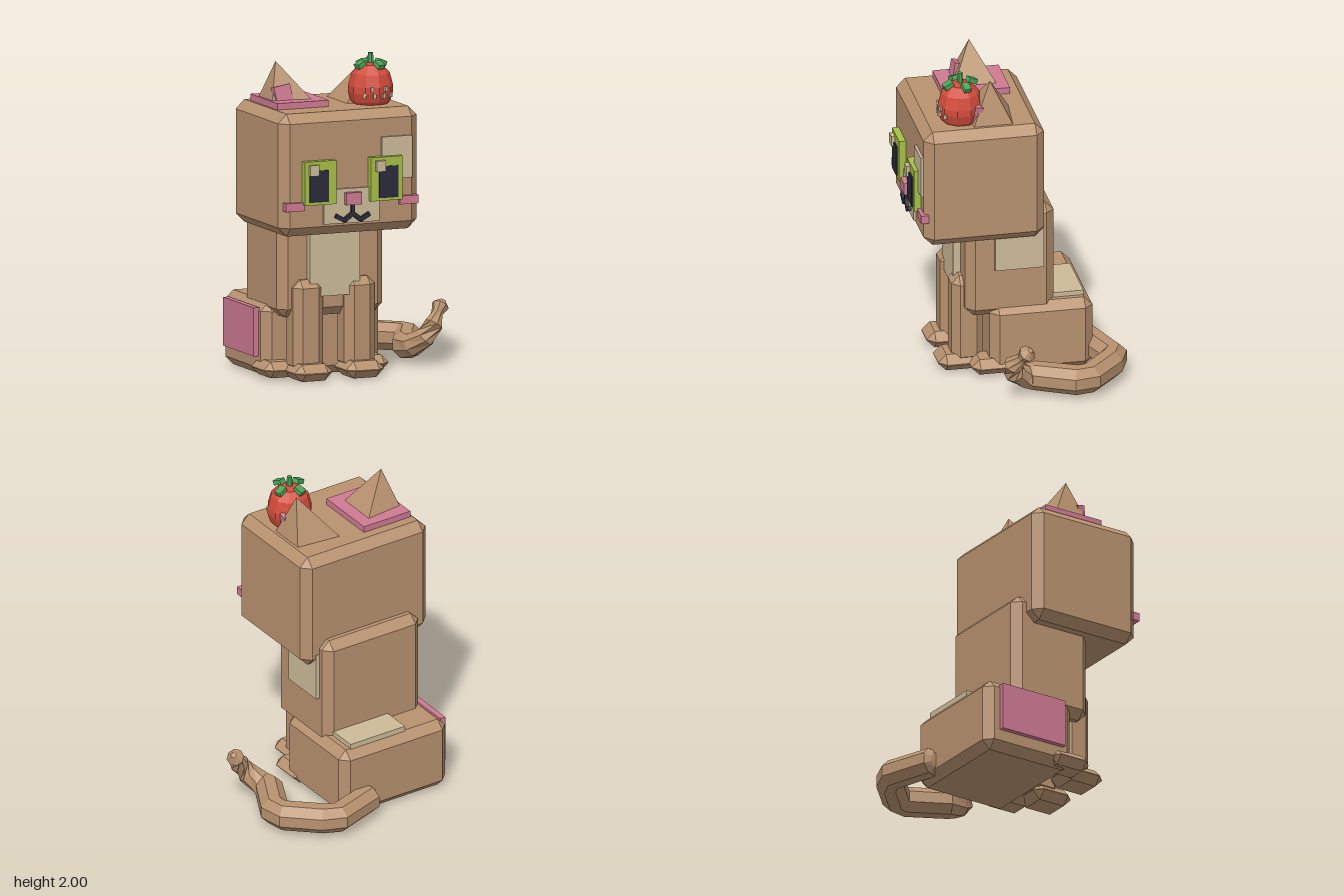
import * as THREE from 'three';
import { ConvexGeometry } from 'three/addons/geometries/ConvexGeometry.js';

const paint = (name, color) => Object.assign(new THREE.MeshStandardMaterial({ color }), { name });

export function createModel() {
  const fur = paint('brown fur', 0xb8926f), cream = paint('cream', 0xcdbb98), pink = paint('pink', 0xcf7a93);
  const lime = paint('lime', 0xa6c045), dark = paint('dark', 0x2b2c3c);
  const red = paint('berry red', 0xd24b3c), leafGreen = paint('leaf green', 0x4ca658);
  const model = new THREE.Group();
  model.name = 'sittingCat';

  function add(name, geo, mat, parent = model) {
    const flat = geo.index ? geo.toNonIndexed() : geo;
    flat.computeVertexNormals();
    const mesh = new THREE.Mesh(flat, mat);
    mesh.name = name;
    parent.add(mesh);
    return mesh;
  }
  // box given by its limits on each axis
  function box(name, mat, [x0, x1], [y0, y1], [z0, z1]) {
    const m = add(name, new THREE.BoxGeometry(x1 - x0, y1 - y0, z1 - z0), mat);
    m.position.set((x0 + x1) / 2, (y0 + y1) / 2, (z0 + z1) / 2);
    return m;
  }
  // box with all edges cut off by c
  function chamferBox(name, mat, [x0, x1], [y0, y1], [z0, z1], c) {
    const h = [(x1 - x0) / 2, (y1 - y0) / 2, (z1 - z0) / 2], pts = [];
    for (const sx of [-1, 1]) for (const sy of [-1, 1]) for (const sz of [-1, 1])
      for (let k = 0; k < 3; k++) {
        const d = h.map((v, i) => (i === k ? v : v - c));
        pts.push(new THREE.Vector3(sx * d[0], sy * d[1], sz * d[2]));
      }
    const m = add(name, new ConvexGeometry(pts), mat);
    m.position.set((x0 + x1) / 2, (y0 + y1) / 2, (z0 + z1) / 2);
    return m;
  }

  // Body
  chamferBox('head', fur, [-0.675, 0.245], [0.935, 1.69], [-0.16, 0.59], 0.056);
  chamferBox('torso', fur, [-0.565, 0.14], [0.39, 1.11], [-0.24, 0.31], 0.053);
  chamferBox('haunches', fur, [-0.605, 0.175], [0.005, 0.465], [-0.475, 0.165], 0.053);

  // Legs and paws
  for (const x of [-0.387, -0.045]) {
    chamferBox('frontLeg', fur, [x - 0.1, x + 0.1], [0.05, 0.625], [0.18, 0.378], 0.048);
    chamferBox('frontPaw', fur, [x - 0.125, x + 0.125], [0.01, 0.115], [0.19, 0.465], 0.05);
  }
  for (const x of [-0.53, 0.085])
    chamferBox('hindPaw', fur, [x - 0.108, x + 0.108], [0.015, 0.115], [0.0, 0.28], 0.048);

  // Coat patches
  box('chestPatch', cream, [-0.385, -0.05], [0.52, 0.98], [0.3, 0.355]);
  box('sidePatch', cream, [0.13, 0.166], [0.71, 1.02], [-0.165, 0.138]);
  box('backPatch', cream, [-0.31, 0.09], [0.45, 0.495], [-0.427, -0.215]);
  box('haunchPatch', pink, [-0.637, -0.6], [0.13, 0.43], [-0.38, 0.08]);
  box('crownPatch', pink, [-0.605, -0.265], [1.68, 1.73], [-0.045, 0.367]);
  box('facePatch', cream, [-0.015, 0.187], [1.26, 1.52], [0.58, 0.606]);

  // Ears: leaning pyramids, mirrored about the middle of the head
  const mid = -0.215;
  for (const s of [-1, 1]) {
    const corners = [[0.1, 1.69, 0], [0.385, 1.69, 0.03], [0.385, 1.69, 0.27], [0.1, 1.69, 0.31], [0.311, 1.957, 0.157]];
    add('ear', new ConvexGeometry(corners.map(([x, y, z]) => new THREE.Vector3(mid + s * x, y, z))), fur);
    const inner = add('innerEar', new THREE.BoxGeometry(0.11, 0.11, 0.05), pink);
    inner.position.set(mid + s * 0.303, 1.762, 0.24);
    inner.rotation.set(-0.2, 0, -s * 0.16);
  }

  // Face
  for (const [x, px, hx] of [[-0.435, -0.445, -0.483], [0.005, 0.015, -0.04]]) {
    box('eye', lime, [x - 0.105, x + 0.105], [1.132, 1.402], [0.58, 0.632]);
    box('pupil', dark, [px - 0.063, px + 0.063], [1.15, 1.345], [0.631, 0.64]);
    box('eyeGlint', cream, [hx - 0.03, hx + 0.03], [1.315, 1.382], [0.61, 0.655]);
  }
  box('muzzle', cream, [-0.402, -0.03], [1.005, 1.218], [0.58, 0.605]);
  box('nose', pink, [-0.265, -0.163], [1.12, 1.195], [0.59, 0.637]);
  box('mouthStem', dark, [-0.226, -0.202], [1.05, 1.125], [0.6, 0.625]);
  for (const s of [-1, 1]) {
    for (const [x, y, len, a] of [[0.027, 1.045, 0.07, -0.65], [0.082, 1.04, 0.07, 0.5]]) {
      const m = add('mouthCurve', new THREE.BoxGeometry(len, 0.027, 0.025), dark);
      m.position.set(mid + s * x, y, 0.6125);
      m.rotation.z = s * a;
    }
    const c = mid + s * 0.379;
    box('cheek', pink, [c - 0.062, c + 0.062], [1.098, 1.15], [0.565, 0.612]);
  }

  // Strawberry on the head
  const berry = new THREE.Group();
  berry.name = 'strawberry';
  berry.position.set(0.03, 1.69, 0.33);
  model.add(berry);
  const profile = [[0, -0.03], [0.09, -0.03], [0.122, 0.015], [0.139, 0.07], [0.138, 0.11], [0.118, 0.185], [0.07, 0.238], [0, 0.252]];
  add('berry', new THREE.LatheGeometry(profile.map(p => new THREE.Vector2(...p)), 10), red, berry);
  add('stem', new THREE.CylinderGeometry(0.016, 0.02, 0.08, 6), leafGreen, berry).position.y = 0.27;
  for (let i = 0; i < 4; i++) {
    const pivot = new THREE.Group();
    pivot.name = 'leafPivot';
    pivot.rotation.y = 0.28 + i * Math.PI / 2;
    berry.add(pivot);
    const leaf = add('leaf', new THREE.BoxGeometry(0.045, 0.03, 0.06), leafGreen, pivot);
    leaf.position.set(0, 0.243, 0.082);
    leaf.rotation.x = 0.4;
  }
  for (const [x, y] of [[-0.045, 0.1], [0.045, 0.1], [-0.085, 0.06], [-0.03, 0.06], [0.03, 0.06], [0.085, 0.06]]) {
    const seed = add('seed', new THREE.BoxGeometry(0.018, 0.03, 0.018), cream, berry);
    seed.position.set(x, y, Math.sqrt(0.0185 - x * x));
    seed.rotation.y = Math.atan2(x, seed.position.z);
  }

  // Tail: octagonal rings [x, y, z, radius] along the curl
  const rings = [
    [-0.05, 0.115, -0.47, 0], [-0.045, 0.115, -0.47, 0.05], [-0.01, 0.115, -0.477, 0.09],
    [0.28, 0.115, -0.575, 0.092], [0.36, 0.115, -0.535, 0.092], [0.54, 0.115, -0.37, 0.092],
    [0.555, 0.115, -0.29, 0.092], [0.435, 0.115, -0.05, 0.09], [0.445, 0.125, 0.02, 0.075],
    [0.5, 0.18, 0.09, 0.066], [0.55, 0.255, 0.105, 0.06], [0.592, 0.315, 0.06, 0.034],
    [0.625, 0.355, 0.035, 0.055], [0.648, 0.385, 0.02, 0.018], [0.65, 0.388, 0.018, 0]];
  const n = 8, pos = [], idx = [], up = new THREE.Vector3(0, 1, 0);
  const centres = rings.map(r => new THREE.Vector3(r[0], r[1], r[2]));
  rings.forEach((r, i) => {
    const next = centres[Math.min(i + 1, rings.length - 1)], prev = centres[Math.max(i - 1, 0)];
    const t = next.clone().sub(prev).normalize();
    const side = t.clone().cross(up).normalize(), rise = side.clone().cross(t);
    for (let j = 0; j < n; j++) {
      const a = (j + 0.5) / n * Math.PI * 2;
      const p = centres[i].clone().addScaledVector(side, r[3] * Math.cos(a)).addScaledVector(rise, r[3] * Math.sin(a));
      pos.push(p.x, p.y, p.z);
      if (i === 0) continue;
      const k = (j + 1) % n, b = (i - 1) * n, c = i * n;
      idx.push(b + j, c + j, b + k, b + k, c + j, c + k);
    }
  });
  const tail = new THREE.BufferGeometry();
  tail.setAttribute('position', new THREE.Float32BufferAttribute(pos, 3));
  tail.setIndex(idx);
  add('tail', tail, fur);

  return model;
}
